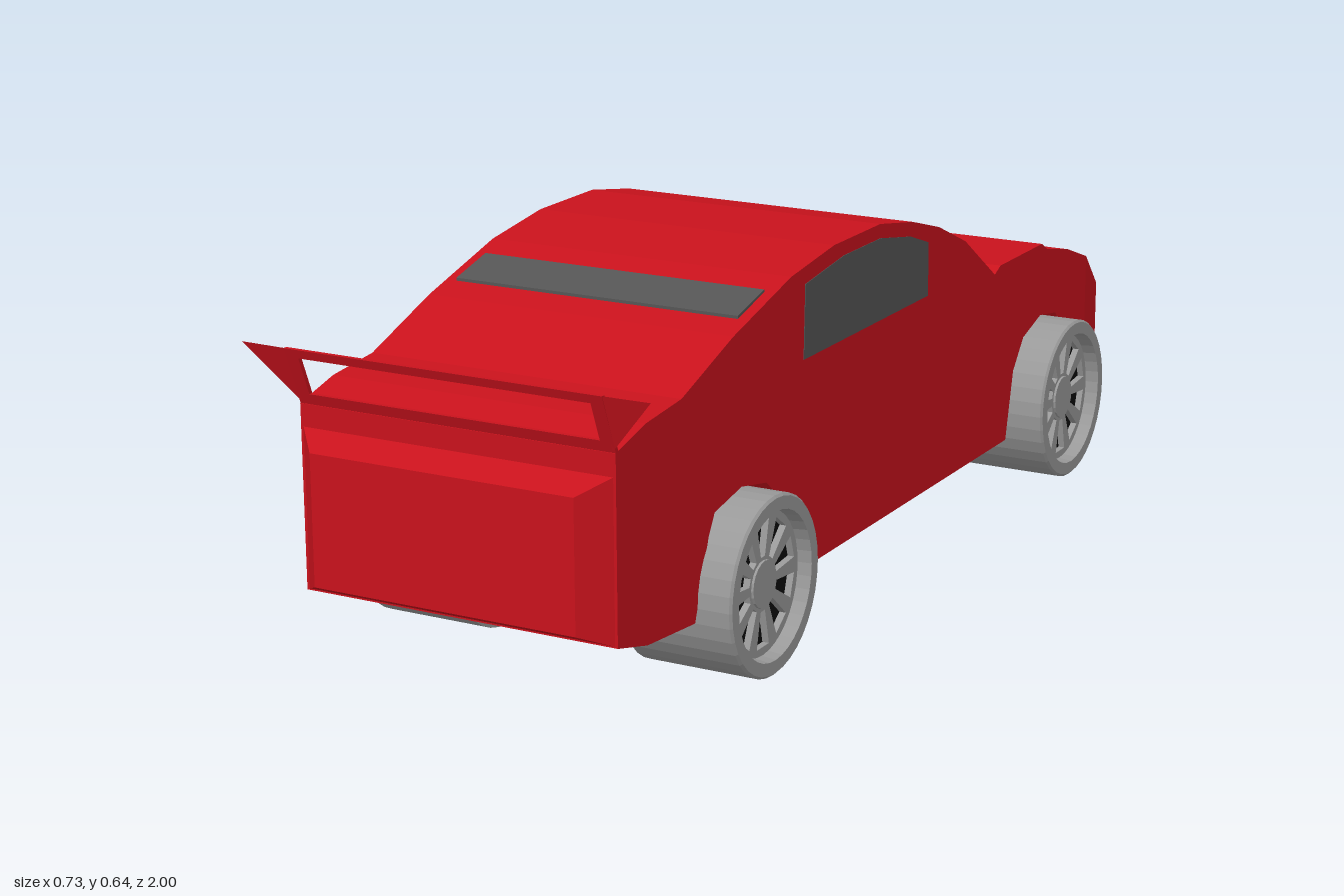
import * as THREE from 'three';
import { ConvexGeometry } from 'three/addons/geometries/ConvexGeometry.js';

const paint = (color, side = THREE.FrontSide) =>
  new THREE.MeshStandardMaterial({ color, flatShading: true, side });
const red = paint(0xc8121c);
const redThin = paint(0xc8121c, THREE.DoubleSide);
const glass = paint(0x555555);
const metal = paint(0x999999);
const black = paint(0x0c0c0c);
const yellow = paint(0xa89810);

const HALF = 0.285;
const v = (x, y, z) => new THREE.Vector3(x, y, z);

function mesh(name, geometry, material) {
  const m = new THREE.Mesh(geometry, material);
  m.name = name;
  return m;
}

// Side profile of [z, y] points, extruded across the car from -half to +half in x
function across(points, half) {
  const shape = new THREE.Shape(points.map(([z, y]) => new THREE.Vector2(z, y)));
  const g = new THREE.ExtrudeGeometry(shape, { depth: half * 2, bevelEnabled: false });
  return g.rotateY(-Math.PI / 2).translate(half, 0, 0);
}

// Thin pane laid on a sloping run of the roof line
function pane(name, points, half) {
  const over = points.map(([z, y]) => [z, y + 0.004]);
  const under = points.map(([z, y]) => [z, y - 0.01]).reverse();
  return mesh(name, across([...over, ...under], half), glass);
}

// Wheel with its inner face at x = 0 and its rim facing +x
function makeWheel(name, width, radius) {
  const wheel = new THREE.Group();
  wheel.name = name;
  const rim = 0.122, floor = width - 0.04;
  const profile = [[0, 0], [radius, 0], [radius, width - 0.004], [radius - 0.004, width],
    [rim + 0.004, width], [rim, floor], [0, floor]].map(([r, y]) => new THREE.Vector2(r, y));
  wheel.add(mesh('tyre', new THREE.LatheGeometry(profile, 36).rotateZ(-Math.PI / 2), metal));
  wheel.add(mesh('rimBacking',
    new THREE.CircleGeometry(rim, 36).rotateY(Math.PI / 2).translate(floor + 0.002, 0, 0), black));

  // Spoked disc: wedge openings that widen outwards
  const disc = new THREE.Shape().absarc(0, 0, rim, 0, Math.PI * 2);
  const count = 10;
  for (let i = 0; i < count; i++) {
    const a = (i + 0.5) * Math.PI * 2 / count;
    const corner = (r, half) => new THREE.Vector2(r * Math.cos(a) - half * Math.sin(a),
      r * Math.sin(a) + half * Math.cos(a));
    disc.holes.push(new THREE.Path([corner(0.046, -0.007), corner(0.108, -0.021),
      corner(0.108, 0.021), corner(0.046, 0.007)]));
  }
  const spokes = new THREE.ExtrudeGeometry(disc, { depth: 0.012, bevelEnabled: false, curveSegments: 18 });
  wheel.add(mesh('spokes', spokes.rotateY(Math.PI / 2).translate(floor + 0.004, 0, 0), metal));
  wheel.add(mesh('hub',
    new THREE.CylinderGeometry(0.04, 0.042, 0.02, 20).rotateZ(-Math.PI / 2).translate(floor + 0.01, 0, 0), metal));
  return wheel;
}

export function createModel() {
  const car = new THREE.Group();
  car.name = 'car';

  // Main body with roof line and wheel arches
  const roof = [[0.955, 0.475], [0.865, 0.498], [0.755, 0.508], [0.587, 0.567], [0.39, 0.62],
    [0.235, 0.64], [0.06, 0.64], [-0.07, 0.617], [-0.18, 0.585], [-0.295, 0.535], [-0.43, 0.443],
    [-0.455, 0.455], [-0.65, 0.455], [-0.675, 0.44], [-0.78, 0.417], [-0.875, 0.383]];
  const underside = [[-0.875, 0.109], [-0.83, 0.107], [-0.8, 0.19], [-0.77, 0.25], [-0.725, 0.303],
    [-0.65, 0.315], [-0.57, 0.29], [-0.525, 0.235], [-0.495, 0.107], [0.39, 0.107], [0.42, 0.25],
    [0.475, 0.295], [0.56, 0.312], [0.65, 0.295], [0.67, 0.26], [0.715, 0.13], [0.865, 0.143],
    [0.955, 0.167]];
  car.add(mesh('body', across([...roof, ...underside], HALF), red));

  // Lamp end, narrowing towards its tip
  const nose = across([[-0.875, 0.383], [-0.975, 0.305], [-0.975, 0.12], [-0.875, 0.109]], HALF);
  const p = nose.attributes.position;
  for (let i = 0; i < p.count; i++) if (p.getZ(i) < -0.9) p.setX(i, p.getX(i) * 0.94);
  car.add(mesh('lampEnd', nose, red));

  // Bevelled panel below the wing
  const panel = [];
  for (const s of [-1, 1]) {
    panel.push(v(s * HALF, 0.167, 0.95), v(s * HALF, 0.44, 0.95),
      v(s * 0.238, 0.192, 1), v(s * 0.238, 0.412, 1));
  }
  car.add(mesh('endPanel', new ConvexGeometry(panel), red));

  // Windows
  const sideWindow = [[0.345, 0.47], [0.34, 0.597], [0.2, 0.615], [0.06, 0.615], [-0.06, 0.593],
    [-0.135, 0.567], [-0.135, 0.47]];
  car.add(mesh('sideWindows', across(sideWindow, HALF + 0.001), glass));
  car.add(pane('largeWindscreen', [[-0.215, 0.57], [-0.295, 0.535], [-0.405, 0.46]], 0.245));
  car.add(pane('narrowWindscreen', [[0.535, 0.582], [0.445, 0.605]], 0.265));

  // Wing: an open frame leaning outwards, with flared tips
  const rect = (Type, w, y0, y1) => new Type([[-w, y0], [w, y0], [w, y1], [-w, y1]]
    .map(([x, y]) => new THREE.Vector2(x, y)));
  const frame = rect(THREE.Shape, HALF, 0.475, 0.573);
  frame.holes.push(rect(THREE.Path, 0.262, 0.494, 0.558));
  const wing = new THREE.ExtrudeGeometry(frame, { depth: 0.008, bevelEnabled: false });
  const w = wing.attributes.position;
  for (let i = 0; i < w.count; i++) w.setZ(i, w.getZ(i) + 0.946 + (w.getY(i) - 0.475) * 0.4);
  car.add(mesh('wingFrame', wing, redThin));
  for (const s of [-1, 1]) {
    const tip = [v(s * 0.366, 0.573, 0.99), v(s * 0.28, 0.477, 0.955),
      v(s * 0.28, 0.573, 0.992), v(s * 0.28, 0.555, 0.962)];
    car.add(mesh(s > 0 ? 'leftWingTip' : 'rightWingTip', new ConvexGeometry(tip), redThin));

    // Round lamps
    const lamp = new THREE.Group();
    lamp.name = s > 0 ? 'leftLamp' : 'rightLamp';
    lamp.add(mesh('housing', new THREE.CylinderGeometry(0.04, 0.04, 0.03, 24).rotateX(Math.PI / 2), black));
    lamp.add(mesh('lens',
      new THREE.CylinderGeometry(0.027, 0.027, 0.004, 24).rotateX(Math.PI / 2).translate(0, 0, -0.0145), yellow));
    lamp.position.set(s * 0.18, 0.225, -0.984);
    car.add(lamp);
  }

  // Wheels: name, inner x, outer x, axle z
  for (const [name, inner, outer, z] of [
    ['frontLeftWheel', 0.143, 0.345, 0.555], ['frontRightWheel', -0.167, -0.367, 0.555],
    ['backLeftWheel', 0.143, 0.352, -0.663], ['backRightWheel', -0.143, -0.345, -0.663]]) {
    const wheel = makeWheel(name, Math.abs(outer - inner), 0.152);
    wheel.position.set(inner, z > 0 ? 0.152 : 0.155, z);
    if (outer < 0) wheel.rotation.y = Math.PI;
    car.add(wheel);
  }
  return car;
}
